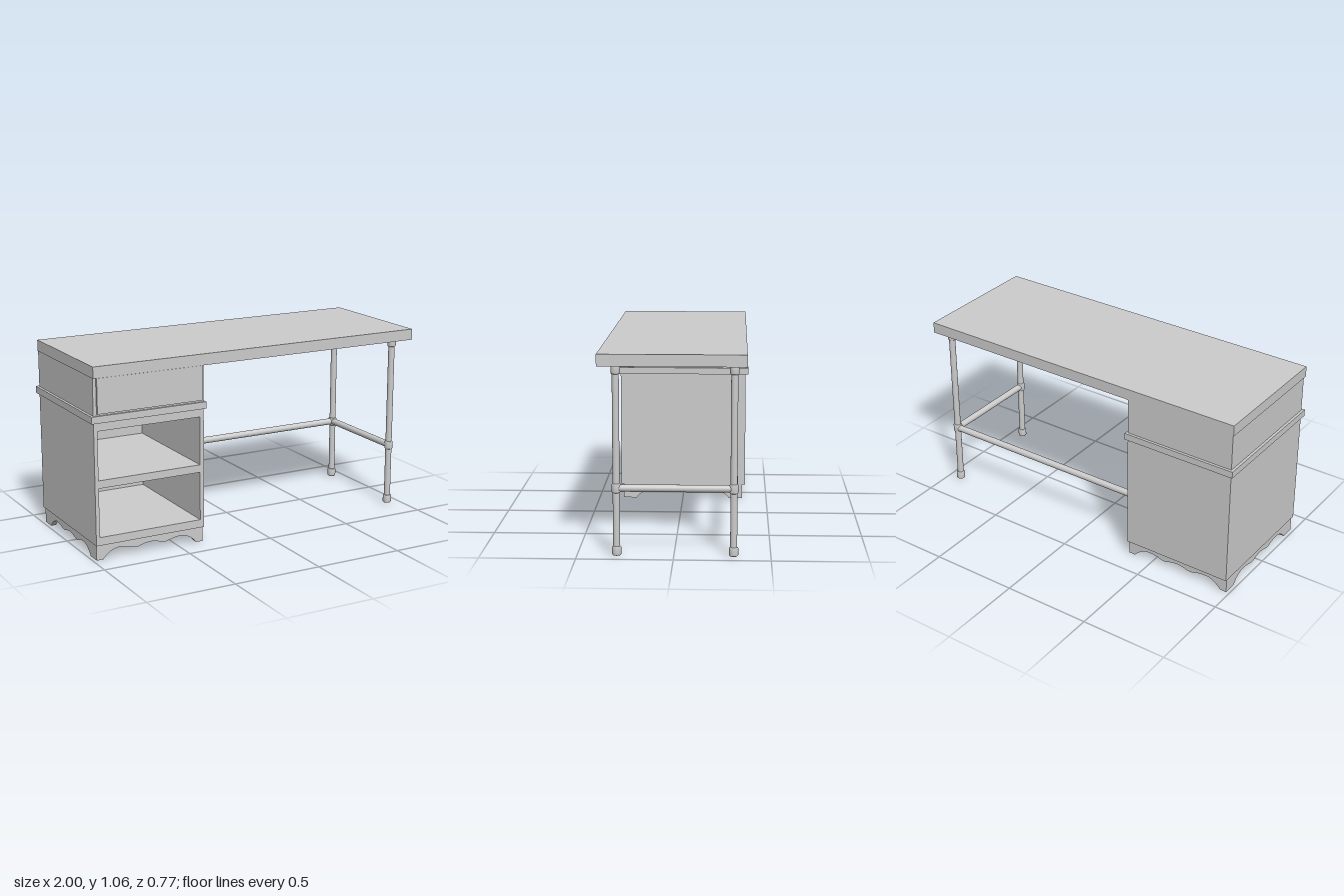
import * as THREE from 'three';

const material = new THREE.MeshStandardMaterial({ color: 0xcccccc });

function add(parent, name, geometry) {
  const mesh = new THREE.Mesh(geometry, material);
  mesh.name = name;
  parent.add(mesh);
  return mesh;
}

// Box given by its limits on each axis
function block(parent, name, x0, x1, y0, y1, z0, z1) {
  const mesh = add(parent, name, new THREE.BoxGeometry(x1 - x0, y1 - y0, z1 - z0));
  mesh.position.set((x0 + x1) / 2, (y0 + y1) / 2, (z0 + z1) / 2);
  return mesh;
}

function rectangle(Type, x0, x1, y0, y1) {
  return new Type([[x0, y0], [x1, y0], [x1, y1], [x0, y1]].map(p => new THREE.Vector2(...p)));
}

// Round pipe between two points
function pipe(parent, name, from, to, radius) {
  const a = new THREE.Vector3(...from), b = new THREE.Vector3(...to);
  const mesh = add(parent, name, new THREE.CylinderGeometry(radius, radius, a.distanceTo(b), 24));
  mesh.position.copy(a).add(b).multiplyScalar(0.5);
  mesh.quaternion.setFromUnitVectors(new THREE.Vector3(0, 1, 0), b.sub(a).normalize());
}

// Pipe fitting: short collar with chamfered rims
function fitting(parent, x, y, z) {
  const r = 0.024, h = 0.024, c = 0.005;
  const profile = [[0, -h], [r - c, -h], [r, c - h], [r, h - c], [r - c, h], [0, h]];
  const geometry = new THREE.LatheGeometry(profile.map(p => new THREE.Vector2(...p)), 24);
  add(parent, 'pipeFitting', geometry).position.set(x, y, z);
}

// Scalloped apron, centred on x and z
function apronGeometry(length, height, thickness) {
  const half = [[0.278, 0], [0.25, 0.028], [0.205, 0.051], [0.15, 0.051], [0.085, 0.036], [0.04, 0.047]];
  const right = half.map(p => new THREE.Vector2(...p));
  const left = half.map(([x, y]) => new THREE.Vector2(-x, y)).reverse();
  const curve = new THREE.SplineCurve([...right, new THREE.Vector2(0, 0.052), ...left]);
  const w = length / 2;
  const shape = new THREE.Shape([
    new THREE.Vector2(-w, 0), new THREE.Vector2(-w, height),
    new THREE.Vector2(w, height), new THREE.Vector2(w, 0),
    ...curve.getPoints(60),
  ]);
  return new THREE.ExtrudeGeometry(shape, { depth: thickness, bevelEnabled: false })
    .translate(0, 0, -thickness / 2);
}

export function createModel() {
  const desk = new THREE.Group();
  desk.name = 'desk';

  block(desk, 'deskTop', -0.988, 1, 0.995, 1.057, -0.372, 0.385);

  // Cabinet with two open shelves
  const cabinet = new THREE.Group();
  cabinet.name = 'cabinet';
  desk.add(cabinet);
  const left = -0.985, right = -0.343, front = 0.369, back = -0.372;
  const carcass = rectangle(THREE.Shape, left, right, 0.085, 0.755);
  for (const [y0, y1] of [[0.13, 0.4], [0.443, 0.71]]) {
    carcass.holes.push(rectangle(THREE.Path, -0.964, -0.367, y0, y1));
  }
  const shell = new THREE.ExtrudeGeometry(carcass, { depth: front - back - 0.02, bevelEnabled: false });
  add(cabinet, 'shelfCarcass', shell).position.z = back + 0.02;
  block(cabinet, 'backPanel', left, right, 0.085, 0.755, back, back + 0.02);
  block(cabinet, 'waistMoulding', -1, -0.332, 0.755, 0.793, -0.387, 0.381);

  // Drawer section above the moulding
  block(cabinet, 'drawerCase', left, right, 0.793, 0.995, back, front);
  block(cabinet, 'drawerBody', -0.95, -0.38, 0.815, 0.98, 0.3, 0.376);
  block(cabinet, 'drawerFront', -0.969, -0.359, 0.805, 0.995, 0.374, 0.387);

  // Scalloped base on four sides
  const base = new THREE.Group();
  base.name = 'base';
  cabinet.add(base);
  const t = 0.03, halfX = 0.316, halfZ = 0.356;
  base.position.set((left + right) / 2, 0, 0);
  for (const s of [-1, 1]) {
    add(base, 'endApron', apronGeometry(halfX * 2, 0.085, t)).position.z = s * (halfZ - t / 2);
    const side = add(base, 'sideApron', apronGeometry((halfZ - t) * 2, 0.085, t));
    side.rotation.y = Math.PI / 2;
    side.position.x = s * (halfX - t / 2);
  }

  // Pipe leg frame
  const frame = new THREE.Group();
  frame.name = 'pipeFrame';
  desk.add(frame);
  const legX = 0.924, legZ = [0.295, -0.308], barY = 0.357;
  for (const z of legZ) {
    pipe(frame, 'pipeLeg', [legX, 0.01, z], [legX, 0.995, z], 0.018);
    for (const y of [0.027, barY, 0.971]) fitting(frame, legX, y, z);
  }
  pipe(frame, 'crossBar', [legX, barY, legZ[0]], [legX, barY, legZ[1]], 0.019);
  pipe(frame, 'longBar', [legX, barY, legZ[1]], [right - 0.01, barY, legZ[1]], 0.019);

  return desk;
}
